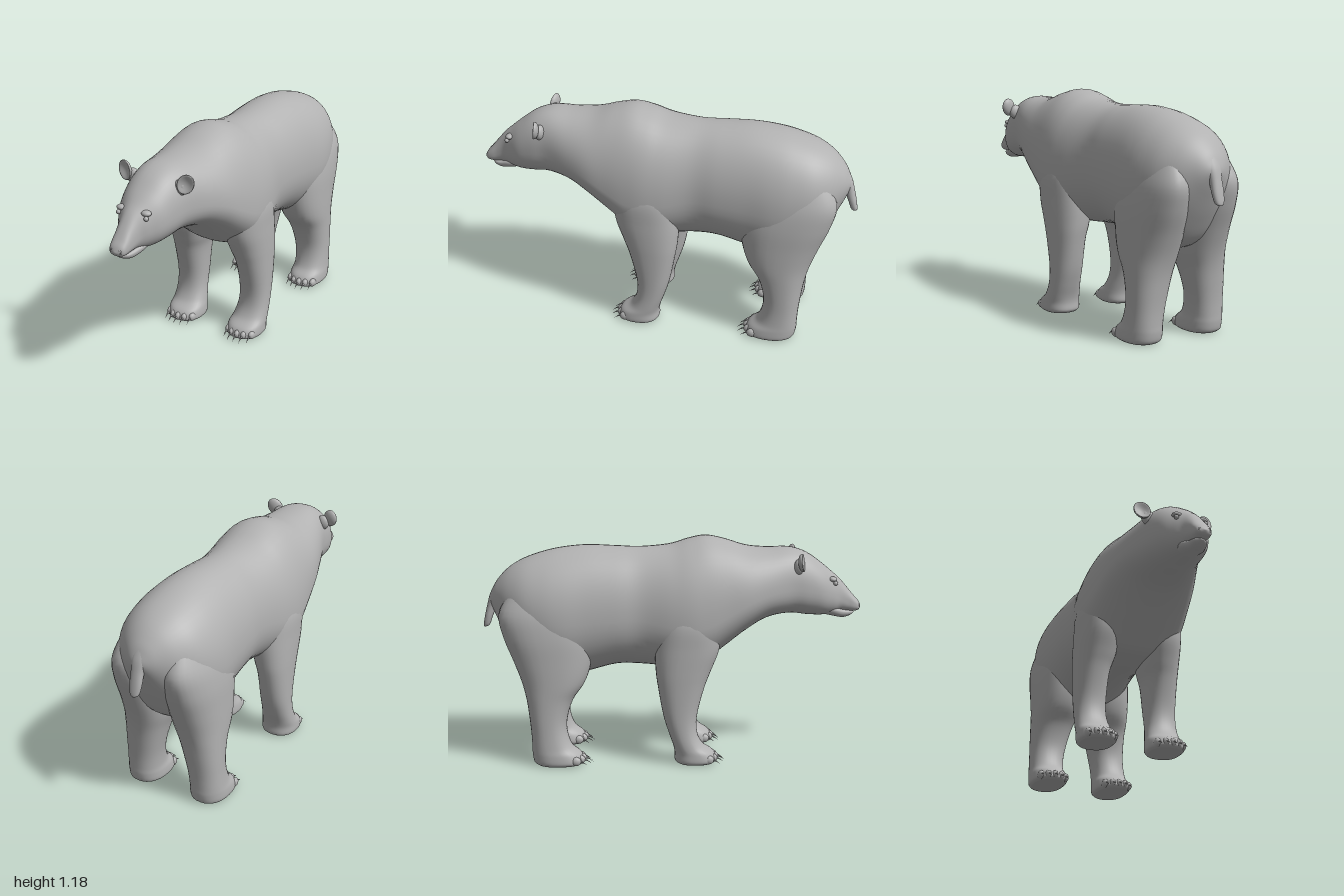
import * as THREE from 'three';

const fur = new THREE.MeshStandardMaterial({ color: 0xb2b2b2 });
fur.name = 'grey fur';

// Catmull-Rom resampling of a list of key rows
function resample(rows, steps) {
  const out = [], last = rows.length - 1;
  for (let i = 0; i <= last * steps; i++) {
    const k = Math.min(Math.floor(i / steps), last - 1), t = i / steps - k;
    const [a, b, c, d] = [k - 1, k, k + 1, k + 2].map(n => rows[Math.max(0, Math.min(last, n))]);
    out.push(b.map((v, j) => 0.5 * (2 * v + (c[j] - a[j]) * t +
      (2 * a[j] - 5 * v + 4 * c[j] - d[j]) * t * t + (3 * v - a[j] - 3 * c[j] + d[j]) * t ** 3)));
  }
  return out;
}

// Skin a closed tube over the rows; point(row, cos, sin) gives a ring vertex
function loft(rows, point, sides = 40, steps = 5) {
  const rings = resample(rows, steps), pos = [], idx = [];
  for (const row of rings) {
    for (let j = 0; j < sides; j++) {
      const a = j / sides * Math.PI * 2;
      pos.push(...point(row, Math.cos(a), Math.sin(a)));
    }
  }
  const at = (i, j) => i * sides + j % sides, end = rings.length - 1;
  for (let i = 0; i < end; i++) {
    for (let j = 0; j < sides; j++) {
      idx.push(at(i, j), at(i, j + 1), at(i + 1, j + 1), at(i, j), at(i + 1, j + 1), at(i + 1, j));
    }
  }
  for (const i of [0, end]) {
    const c = [0, 0, 0], hub = pos.length / 3;
    for (let j = 0; j < sides; j++) for (let k = 0; k < 3; k++) c[k] += pos[at(i, j) * 3 + k] / sides;
    pos.push(...c);
    for (let j = 0; j < sides; j++) {
      if (i === 0) idx.push(hub, at(i, j + 1), at(i, j));
      else idx.push(hub, at(i, j), at(i, j + 1));
    }
  }
  const g = new THREE.BufferGeometry();
  g.setAttribute('position', new THREE.Float32BufferAttribute(pos, 3));
  g.setIndex(idx);
  g.computeVertexNormals();
  return g;
}

const power = (v, n) => Math.sign(v) * Math.abs(v) ** (2 / n);

// Row along z: [z, top, bottom, half width, height of widest point, squareness]
const alongZ = ([z, top, bottom, w, mid, n], c, s) =>
  [w * power(c, n), mid + (s > 0 ? top - mid : mid - bottom) * power(s, n), z];

// Row along y: [y, inner x, outer x, back z, front z], mirrored by side
const alongY = side => ([y, x0, x1, z0, z1], c, s) =>
  [side * (x0 + x1) / 2 + (x1 - x0) / 2 * power(c, 2.3), y, (z0 + z1) / 2 - (z1 - z0) / 2 * power(s, 2.3)];

const bodyRows = [
  [-0.965, 0.862, 0.852, 0.005, 0.857, 2],
  [-0.95, 0.90, 0.81, 0.05, 0.855, 2],
  [-0.92, 0.955, 0.74, 0.10, 0.85, 2],
  [-0.86, 1.018, 0.62, 0.172, 0.83, 2],
  [-0.78, 1.065, 0.50, 0.228, 0.80, 2.1],
  [-0.68, 1.10, 0.45, 0.258, 0.77, 2.1],
  [-0.58, 1.122, 0.44, 0.266, 0.75, 2.1],
  [-0.45, 1.134, 0.465, 0.255, 0.76, 2.1],
  [-0.30, 1.128, 0.502, 0.246, 0.77, 2.1],
  [-0.17, 1.123, 0.50, 0.238, 0.77, 2.1],
  [-0.02, 1.136, 0.49, 0.268, 0.74, 2.15],
  [0.08, 1.165, 0.50, 0.28, 0.73, 2.15],
  [0.17, 1.181, 0.525, 0.276, 0.74, 2.15],
  [0.27, 1.162, 0.60, 0.262, 0.79, 2.15],
  [0.38, 1.128, 0.684, 0.243, 0.85, 2.15],
  [0.49, 1.117, 0.748, 0.208, 0.89, 2.2],
  [0.61, 1.117, 0.77, 0.165, 0.91, 2.35],
  [0.70, 1.09, 0.76, 0.148, 0.90, 2.3],
  [0.78, 1.035, 0.755, 0.127, 0.88, 2.2],
  [0.84, 0.985, 0.76, 0.092, 0.86, 2.1],
  [0.88, 0.95, 0.772, 0.064, 0.845, 2.2],
  [0.92, 0.904, 0.773, 0.052, 0.825, 2.4],
  [0.96, 0.856, 0.772, 0.047, 0.81, 2.5],
  [0.985, 0.828, 0.778, 0.037, 0.80, 2.3],
  [0.998, 0.803, 0.795, 0.006, 0.799, 2]
];

const jawRows = [
  [0.76, 0.80, 0.765, 0.05, 0.785, 2],
  [0.84, 0.81, 0.749, 0.066, 0.785, 2.1],
  [0.90, 0.79, 0.738, 0.05, 0.77, 2.2],
  [0.94, 0.78, 0.748, 0.036, 0.768, 2.2],
  [0.962, 0.77, 0.762, 0.008, 0.766, 2]
];

const frontLegRows = [
  [0.004, 0.105, 0.27, 0.015, 0.205],
  [0.02, 0.09, 0.285, 0, 0.222],
  [0.06, 0.092, 0.285, 0, 0.205],
  [0.10, 0.102, 0.282, -0.008, 0.15],
  [0.17, 0.114, 0.279, -0.032, 0.118],
  [0.265, 0.114, 0.279, -0.06, 0.118],
  [0.41, 0.104, 0.282, -0.086, 0.155],
  [0.50, 0.08, 0.284, -0.098, 0.19],
  [0.62, 0.06, 0.284, -0.10, 0.235],
  [0.75, 0.06, 0.279, -0.08, 0.235],
  [0.87, 0.08, 0.235, -0.04, 0.18]
];

const hindLegRows = [
  [0.004, 0.105, 0.27, -0.72, -0.49],
  [0.02, 0.09, 0.284, -0.738, -0.472],
  [0.06, 0.09, 0.284, -0.746, -0.49],
  [0.10, 0.095, 0.279, -0.747, -0.535],
  [0.17, 0.09, 0.275, -0.75, -0.56],
  [0.25, 0.075, 0.274, -0.758, -0.56],
  [0.35, 0.05, 0.274, -0.772, -0.527],
  [0.44, 0.022, 0.275, -0.795, -0.465],
  [0.55, 0.012, 0.274, -0.835, -0.43],
  [0.68, 0.02, 0.27, -0.885, -0.42],
  [0.80, 0.04, 0.25, -0.905, -0.45],
  [0.92, 0.07, 0.20, -0.84, -0.52]
];

const tailRows = [
  [0.703, -0.008, 0.008, -0.998, -0.985],
  [0.715, -0.024, 0.024, -1, -0.967],
  [0.76, -0.032, 0.032, -0.992, -0.95],
  [0.82, -0.033, 0.033, -0.978, -0.925],
  [0.88, -0.042, 0.042, -0.961, -0.89],
  [0.94, -0.04, 0.04, -0.93, -0.85]
];

// Claw: a cone pointing forward, curved down
function clawGeometry() {
  const g = new THREE.ConeGeometry(0.008, 0.055, 8, 5).rotateX(Math.PI / 2);
  const p = g.attributes.position;
  for (let i = 0; i < p.count; i++) p.setY(i, p.getY(i) - 9 * (p.getZ(i) + 0.0275) ** 2);
  g.computeVertexNormals();
  return g;
}

// Ear: a flattened ball with its front face pushed in to a cup
function earGeometry() {
  const g = new THREE.SphereGeometry(1, 28, 20);
  const p = g.attributes.position;
  for (let i = 0; i < p.count; i++) {
    const z = p.getZ(i), r = Math.hypot(p.getX(i), p.getY(i));
    if (z > 0) p.setZ(i, z - 1.3 * Math.max(0, 1 - r * r));
  }
  g.scale(0.042, 0.05, 0.024);
  g.computeVertexNormals();
  return g;
}

export function createModel() {
  const bear = new THREE.Group();
  bear.name = 'bear';
  const add = (name, geometry, parent = bear, x = 0, y = 0, z = 0) => {
    const mesh = new THREE.Mesh(geometry, fur);
    mesh.name = name;
    mesh.position.set(x, y, z);
    parent.add(mesh);
    return mesh;
  };

  add('bodyAndHead', loft(bodyRows, alongZ, 48));
  add('lowerJaw', loft(jawRows, alongZ, 28));
  add('tail', loft(tailRows, alongY(1), 24));

  const claw = clawGeometry(), ear = earGeometry();
  const ball = new THREE.SphereGeometry(1, 16, 12);

  for (const side of [1, -1]) {
    const label = side > 0 ? 'left' : 'right';

    // Legs, each with five toes and claws
    for (const [name, rows, front] of [['FrontLeg', frontLegRows, 0.222], ['HindLeg', hindLegRows, -0.472]]) {
      const leg = new THREE.Group();
      leg.name = label + name;
      bear.add(leg);
      add('limb', loft(rows, alongY(side), 32), leg);
      for (let i = -2; i <= 2; i++) {
        const x = side * 0.188 + i * 0.035, z = front - 0.007 * i * i;
        add('toe', ball, leg, x, 0.031, z - 0.018).scale.set(0.018, 0.024, 0.028);
        add('claw', claw, leg, x, 0.034, z + 0.016);
      }
    }

    // Face details
    const earMesh = add(label + 'Ear', ear, bear, side * 0.174, 1.057, 0.66);
    earMesh.rotation.set(-0.1, side * 0.25, -side * 0.45);
    add(label + 'EarBase', ball, bear, side * 0.137, 1.03, 0.645).scale.set(0.036, 0.04, 0.025);
    add(label + 'Eye', ball, bear, side * 0.079, 0.932, 0.85).scale.setScalar(0.012);
    add(label + 'Brow', ball, bear, side * 0.07, 0.953, 0.835).scale.set(0.026, 0.014, 0.022);
    add(label + 'Nostril', new THREE.TorusGeometry(0.009, 0.004, 8, 16), bear, side * 0.021, 0.803, 0.988);
  }
  return bear;
}
